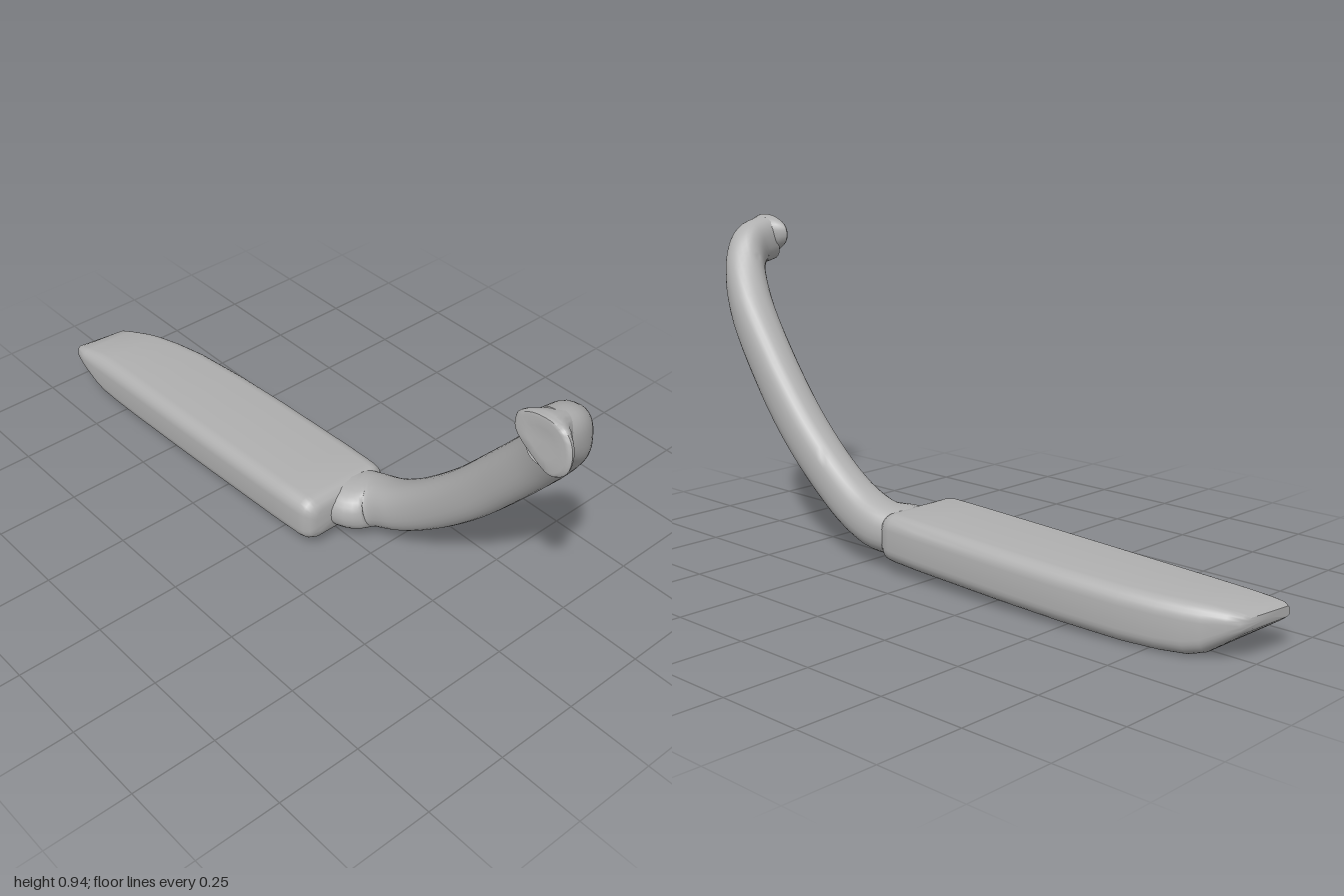
import * as THREE from 'three';
import { mergeVertices, toCreasedNormals } from 'three/addons/utils/BufferGeometryUtils.js';

// Skin a list of equal-length rings, closing both ends with a fan
function loft(rings) {
  const n = rings[0].length, pos = [], idx = [];
  rings.forEach(r => r.forEach(p => pos.push(p.x, p.y, p.z)));
  for (let i = 0; i < rings.length - 1; i++) {
    for (let j = 0; j < n; j++) {
      const k = (j + 1) % n, a = i * n + j, b = i * n + k;
      idx.push(a, b, b + n, a, b + n, a + n);
    }
  }
  [0, rings.length - 1].forEach((r, end) => {
    const c = new THREE.Vector3();
    rings[r].forEach(p => c.addScaledVector(p, 1 / n));
    const ci = pos.length / 3;
    pos.push(c.x, c.y, c.z);
    for (let j = 0; j < n; j++) {
      const a = r * n + j, b = r * n + (j + 1) % n;
      if (end) idx.push(ci, a, b); else idx.push(ci, b, a);
    }
  });
  const g = new THREE.BufferGeometry();
  g.setAttribute('position', new THREE.Float32BufferAttribute(pos, 3));
  g.setIndex(idx);
  return toCreasedNormals(mergeVertices(g), 0.75);
}

// Rounded rectangle in x/y at depth z; skew slants the ring across x
function roundedRing(z, x0, x1, y0, y1, r, skew = 0) {
  const ring = [], seg = 6;
  const corners = [[x1 - r, y0 + r, -1], [x1 - r, y1 - r, 0], [x0 + r, y1 - r, 1], [x0 + r, y0 + r, 2]];
  for (const [cx, cy, q] of corners) {
    for (let i = 0; i <= seg; i++) {
      const a = (q + i / seg) * Math.PI / 2;
      const x = cx + r * Math.cos(a);
      ring.push(new THREE.Vector3(x, cy + r * Math.sin(a), z + skew * (x - x0)));
    }
  }
  return ring;
}

function bladeGeometry() {
  // z, x min, x max, y min, y max, corner radius, skew
  const sections = [
    [-1.0, -0.14, 0.012, 0.085, 0.112, 0.012, 0.12],
    [-0.985, -0.15, 0.03, 0.073, 0.12, 0.02, 0.08],
    [-0.95, -0.155, 0.05, 0.05, 0.126, 0.03, 0.04],
    [-0.89, -0.154, 0.08, 0.013, 0.134, 0.04],
    [-0.85, -0.153, 0.096, 0.002, 0.137, 0.042],
    [-0.78, -0.153, 0.115, 0, 0.14, 0.042],
    [-0.68, -0.153, 0.133, 0.002, 0.144, 0.042],
    [-0.5, -0.153, 0.147, 0.009, 0.151, 0.042],
    [-0.3, -0.152, 0.153, 0.017, 0.159, 0.042],
    [0, -0.149, 0.155, 0.03, 0.171, 0.042],
    [0.1, -0.146, 0.153, 0.035, 0.175, 0.042],
    [0.122, -0.141, 0.15, 0.038, 0.172, 0.04],
    [0.138, -0.13, 0.14, 0.047, 0.163, 0.035],
    [0.146, -0.11, 0.12, 0.064, 0.146, 0.03],
  ];
  return loft(sections.map(s => roundedRing(...s)));
}

function handleGeometry() {
  // centre x, y, z, half width, half thickness
  const stations = [
    [0.05, 0.105, 0.03, 0.095, 0.06],
    [0.046, 0.106, 0.13, 0.106, 0.068],
    [0.077, 0.116, 0.19, 0.077, 0.07],
    [0.085, 0.15, 0.275, 0.068, 0.07],
    [0.088, 0.217, 0.375, 0.063, 0.07],
    [0.087, 0.343, 0.515, 0.063, 0.071],
    [0.078, 0.495, 0.65, 0.063, 0.071],
    [0.049, 0.68, 0.8, 0.063, 0.068],
    [0.005, 0.795, 0.877, 0.06, 0.066],
    [-0.042, 0.85, 0.903, 0.055, 0.069],
    [-0.105, 0.868, 0.908, 0.052, 0.07],
  ];
  const path = new THREE.CatmullRomCurve3(stations.map(s => new THREE.Vector3(s[0], s[1], s[2])));
  const size = new THREE.CatmullRomCurve3(stations.map((s, i) => new THREE.Vector3(s[3], s[4], i * 0.1)));
  const up = new THREE.Vector3(0, 1, 0), rings = [], steps = 60, sides = 28;
  const round = v => Math.sign(v) * Math.abs(v) ** 0.85;
  for (let i = 0; i <= steps; i++) {
    const t = i / steps, c = path.getPoint(t), h = size.getPoint(t), dir = path.getTangent(t);
    const side = new THREE.Vector3().crossVectors(up, dir).normalize();
    const top = new THREE.Vector3().crossVectors(dir, side);
    rings.push(Array.from({ length: sides }, (_, j) => {
      const a = j / sides * Math.PI * 2;
      return c.clone().addScaledVector(side, h.x * round(Math.cos(a))).addScaledVector(top, h.y * round(Math.sin(a)));
    }));
  }
  return loft(rings);
}

function endCapGeometry() {
  // Outline in z/y, pointed toward the lower front
  const outline = new THREE.CatmullRomCurve3([
    [1, 0.875], [0.985, 0.915], [0.95, 0.937], [0.88, 0.934], [0.835, 0.905],
    [0.835, 0.865], [0.89, 0.823], [0.955, 0.797], [0.992, 0.825],
  ].map(([z, y]) => new THREE.Vector3(0, y, z)), true);
  const pts = outline.getPoints(36).slice(0, 36);
  // x, z scale, y scale
  const steps = [[-0.07, 0.5, 0.85], [-0.09, 0.63, 0.93], [-0.103, 0.82, 0.97], [-0.115, 0.97, 1],
    [-0.124, 1, 1], [-0.13, 0.95, 0.95], [-0.132, 0.85, 0.85], [-0.13, 0.5, 0.5]];
  return loft(steps.map(([x, sz, sy]) => pts.map(p =>
    new THREE.Vector3(x - (0.87 - p.y) * 0.06, 0.87 + (p.y - 0.87) * sy, 0.91 + (p.z - 0.91) * sz))));
}

export function createModel() {
  const group = new THREE.Group();
  group.name = 'paddle';
  const grey = new THREE.MeshStandardMaterial({ color: 0xb0b0b0 });
  grey.name = 'grey';
  const parts = { blade: bladeGeometry(), handle: handleGeometry(), handleEndCap: endCapGeometry() };
  for (const [name, geometry] of Object.entries(parts)) {
    const mesh = new THREE.Mesh(geometry, grey);
    mesh.name = name;
    group.add(mesh);
  }
  return group;
}
